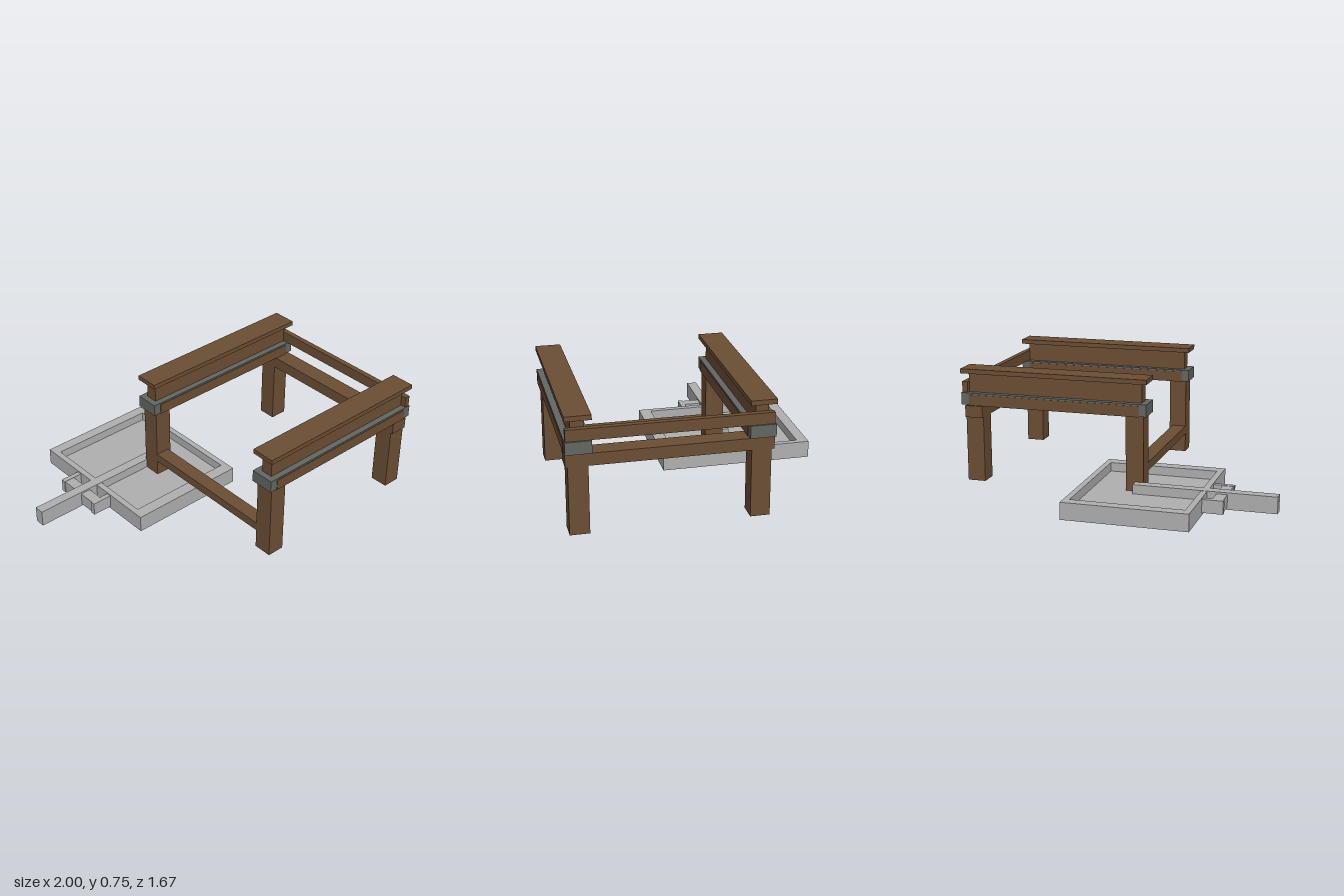
import * as THREE from 'three';

export function createModel() {
  const model = new THREE.Group();
  const material = (name, color) => Object.assign(new THREE.MeshStandardMaterial({ color }), { name });
  const wood = material('brown wood', 0x6b4e34);
  const steel = material('dark steel', 0x636663);
  const grey = material('light grey', 0xb0b0b0);

  // Box given by its limits on each axis
  function box(parent, name, mat, [x0, x1], [y0, y1], [z0, z1]) {
    const mesh = new THREE.Mesh(new THREE.BoxGeometry(x1 - x0, y1 - y0, z1 - z0), mat);
    mesh.position.set((x0 + x1) / 2, (y0 + y1) / 2, (z0 + z1) / 2);
    mesh.name = name;
    parent.add(mesh);
  }
  function group(name) {
    const g = new THREE.Group();
    g.name = name;
    model.add(g);
    return g;
  }

  // Wooden frame: four legs and the rails joining them
  const frame = group('woodenFrame');
  for (const z of [[0.7, 0.815], [-0.335, -0.22]]) {
    box(frame, 'rightLeg', wood, [-0.17, -0.06], [0.03, 0.52], z);
    box(frame, 'leftLeg', wood, [0.86, 0.973], [0.03, 0.44], z);
  }
  box(frame, 'lowRail', wood, [-0.17, -0.08], [0.152, 0.206], [-0.22, 0.7]);
  box(frame, 'sideBeam', wood, [0.86, 0.973], [0.44, 0.513], [-0.352, 0.828]);
  box(frame, 'upperSideRail', wood, [0.955, 0.99], [0.597, 0.665], [-0.347, 0.826]);

  // Two long beams: steel channel, wooden infill, web and cap
  for (const [name, z] of [['frontBeam', 0.755], ['backBeam', -0.28]]) {
    const beam = group(name);
    const across = (half) => [z - half, z + half];
    box(beam, 'steelChannel', steel, [-0.193, 0.995], [0.52, 0.595], across(0.075));
    box(beam, 'woodInfill', wood, [-0.145, 0.945], [0.517, 0.585], across(0.078));
    box(beam, 'web', wood, [-0.155, 0.957], [0.595, 0.716], across(0.038));
    box(beam, 'cap', wood, [-0.193, 0.997], [0.716, 0.745], across(0.076));
  }

  // Tray: rim with a sunken floor
  const tray = group('tray');
  const rim = new THREE.Shape();
  rim.moveTo(-0.578, -0.11).lineTo(0.187, -0.11).lineTo(0.187, 0.833).lineTo(-0.578, 0.833).closePath();
  const hole = new THREE.Path();
  hole.moveTo(-0.54, -0.035).lineTo(-0.54, 0.765).lineTo(0.15, 0.765).lineTo(0.15, -0.035).closePath();
  rim.holes.push(hole);
  const rimMesh = new THREE.Mesh(
    new THREE.ExtrudeGeometry(rim, { depth: 0.106, bevelEnabled: false }).rotateX(-Math.PI / 2), grey);
  rimMesh.name = 'trayRim';
  tray.add(rimMesh);
  box(tray, 'trayFloor', grey, [-0.54, 0.15], [0.016, 0.05], [-0.765, 0.035]);

  // Long handle and the bracket around it
  box(tray, 'handle', grey, [-1, -0.12], [0.004, 0.108], [-0.39, -0.327]);
  box(tray, 'bracketBar', grey, [-0.7, -0.633], [0.018, 0.096], [-0.495, -0.22]);
  for (const z of [[-0.525, -0.495], [-0.22, -0.19]])
    box(tray, 'bracketArm', grey, [-0.705, -0.575], [0.016, 0.098], z);

  return model;
}
